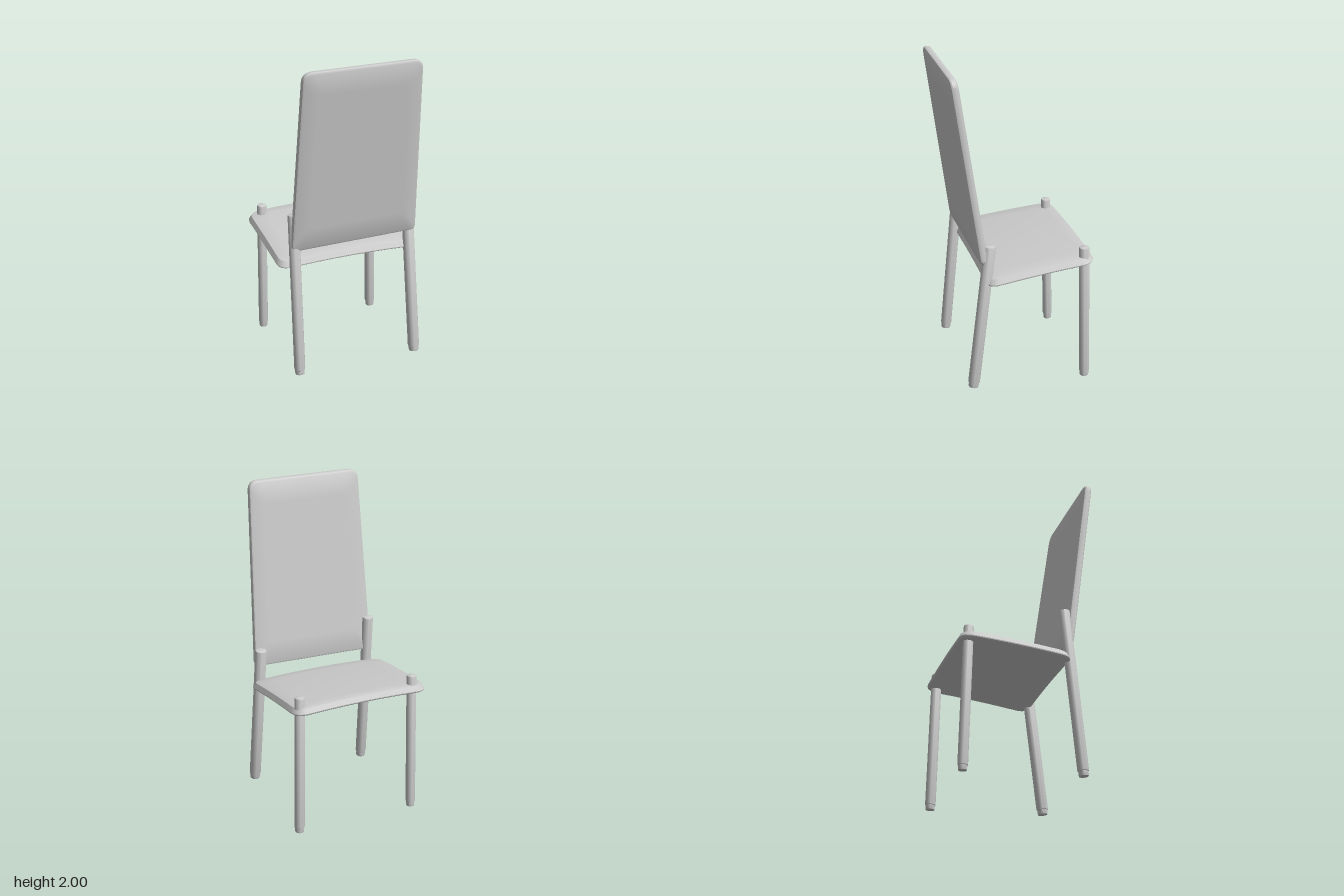
import * as THREE from 'three';
import { toCreasedNormals } from 'three/addons/utils/BufferGeometryUtils.js';

const material = new THREE.MeshStandardMaterial({ color: 0xcccccc });

// Rounded polygon outline from counter-clockwise corners [u, v, radius].
function roundedOutline(corners, arcSteps = 6, edgeSteps = 6) {
  const points = [];
  const n = corners.length;
  const at = (i) => new THREE.Vector2(...corners[(i + n) % n].slice(0, 2));
  const towards = (i, j) => {
    const p = at(i);
    return p.clone().add(at(j).sub(p).setLength(corners[(i + n) % n][2]));
  };
  for (let i = 0; i < n; i++) {
    const arc = new THREE.QuadraticBezierCurve(towards(i, i - 1), at(i), towards(i, i + 1));
    points.push(...arc.getPoints(arcSteps));
    const end = towards(i, i + 1);
    const next = towards(i + 1, i);
    for (let k = 1; k < edgeSteps; k++) points.push(end.clone().lerp(next, k / edgeSteps));
  }
  return points;
}

// Slab made of concentric loops; profile rows are [inset, height], top to bottom.
function slab(name, corners, profile, place) {
  const outline = roundedOutline(corners);
  const box = new THREE.Box2().setFromPoints(outline);
  const centre = box.getCenter(new THREE.Vector2());
  const half = box.getSize(new THREE.Vector2()).multiplyScalar(0.5);
  const top = profile[0][1];
  const bottom = profile[profile.length - 1][1];
  const rings = [
    ...[0, 0.25, 0.5, 0.75].map((s) => [s, s, top]),
    ...profile.map(([d, h]) => [1 - d / half.x, 1 - d / half.y, h]),
    ...[0.75, 0.5, 0.25, 0].map((s) => [s, s, bottom]),
  ];
  const positions = [];
  const index = [];
  const n = outline.length;
  rings.forEach(([su, sv, h], r) => {
    outline.forEach((p, j) => {
      const u = centre.x + (p.x - centre.x) * su;
      const v = centre.y + (p.y - centre.y) * sv;
      positions.push(...place(u, v, h));
      if (r === rings.length - 1) return;
      const a = r * n + j;
      const a1 = r * n + ((j + 1) % n);
      if (r < rings.length - 2) index.push(a, a + n, a1 + n);
      if (r > 0) index.push(a, a1 + n, a1);
    });
  });
  const geometry = new THREE.BufferGeometry();
  geometry.setAttribute('position', new THREE.Float32BufferAttribute(positions, 3));
  geometry.setIndex(index);
  const mesh = new THREE.Mesh(toCreasedNormals(geometry, 0.5), material);
  mesh.name = name;
  return mesh;
}

// Round leg between two points, with a stepped foot and a slightly domed top.
function leg(name, foot, head, footRadius, headRadius) {
  const from = new THREE.Vector3(...foot);
  const axis = new THREE.Vector3(...head).sub(from);
  const length = axis.length();
  const profile = [
    [0, 0], [footRadius * 0.82, 0], [footRadius * 0.86, 0.005], [footRadius * 0.86, 0.028],
    [footRadius * 0.95, 0.03], [footRadius, 0.038], [headRadius, length - 0.012],
    [headRadius * 0.93, length - 0.004], [headRadius * 0.6, length], [0, length + 0.001],
  ].map(([x, y]) => new THREE.Vector2(x, y));
  const mesh = new THREE.Mesh(toCreasedNormals(new THREE.LatheGeometry(profile, 24), 0.6), material);
  mesh.name = name;
  mesh.position.copy(from);
  mesh.quaternion.setFromUnitVectors(new THREE.Vector3(0, 1, 0), axis.normalize());
  return mesh;
}

export function createModel() {
  const chair = new THREE.Group();
  chair.name = 'chair';

  // Seat: gently crowned, rising towards the open side at -z
  chair.add(slab(
    'seat',
    [[-0.46, -0.24, 0.075], [0.456, -0.24, 0.075], [0.437, 0.44, 0.085], [-0.452, 0.428, 0.085]],
    [[0.02, 0.043], [0.015, 0.041], [0, 0.012], [0.001, 0.006], [0.008, 0]],
    (x, v, h) => {
      const t = (v + 0.24) / 0.67;
      const y = 0.72 + 0.065 * t + 0.03 * t * (1 - t) + 0.015 * (1 - (x / 0.45) ** 2);
      return [x, y + h, -v];
    },
  ));

  // Backrest: tall tapered panel leaning outwards
  chair.add(slab(
    'backrest',
    [[-0.392, 0.843, 0.035], [0.417, 0.856, 0.035], [0.366, 2, 0.06], [-0.367, 2, 0.06]],
    [[0.014, 0.047], [0.004, 0.042], [0, 0.034], [0, 0.013], [0.004, 0.005], [0.014, 0]],
    (x, y, h) => [x, y, 0.224 + (y - 0.845) * 0.1375 + h],
  ));

  // Legs, running up past the seat
  chair.add(
    leg('leftFrontLeg', [0.405, 0.004, -0.392], [0.388, 0.89, -0.376], 0.032, 0.032),
    leg('rightFrontLeg', [-0.364, 0.001, -0.391], [-0.363, 0.89, -0.367], 0.03, 0.03),
    leg('leftBackLeg', [0.402, 0.036, 0.325], [0.386, 0.972, 0.21], 0.036, 0.036),
    leg('rightBackLeg', [-0.37, 0.033, 0.319], [-0.364, 1.07, 0.221], 0.034, 0.034),
  );

  return chair;
}
